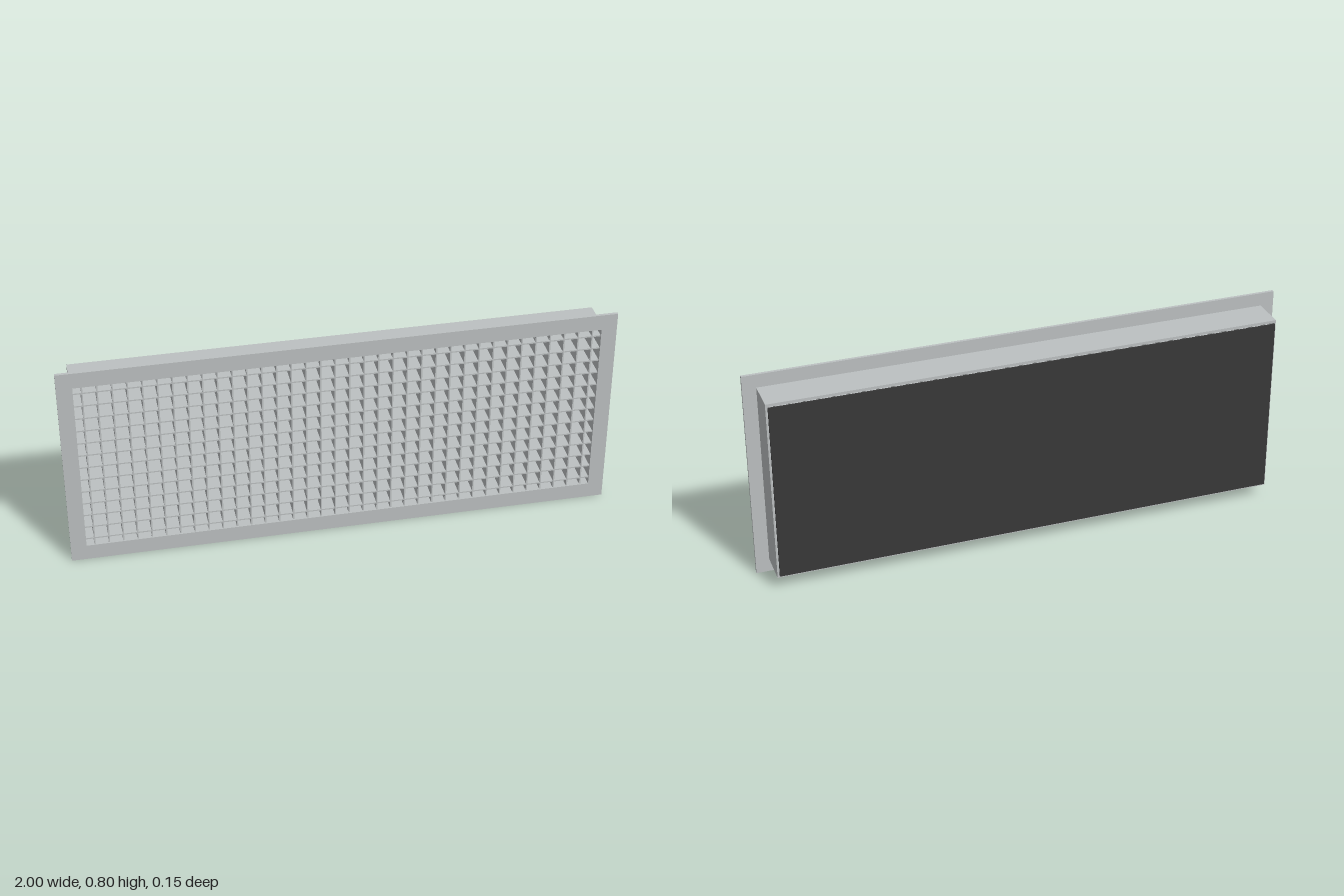
import * as THREE from 'three';

const CY = 0.4;                 // height of the centre line
const OPEN_W = 1.886, OPEN_H = 0.68;
const PITCH = 0.0521, BLADE = 0.005;

// Rectangular ring with the grille opening, extruded from z0 to z1
function ring(name, w, h, z0, z1, material) {
  const rect = (Type, rw, rh) => new Type([
    new THREE.Vector2(-rw / 2, -rh / 2), new THREE.Vector2(rw / 2, -rh / 2),
    new THREE.Vector2(rw / 2, rh / 2), new THREE.Vector2(-rw / 2, rh / 2),
  ]);
  const shape = rect(THREE.Shape, w, h);
  shape.holes.push(rect(THREE.Path, OPEN_W, OPEN_H));
  const geometry = new THREE.ExtrudeGeometry(shape, { depth: z1 - z0, bevelEnabled: false });
  const mesh = new THREE.Mesh(geometry, material);
  mesh.name = name;
  mesh.position.set(0, CY, z0);
  return mesh;
}

function box(name, w, h, z0, z1, x, y, material) {
  const mesh = new THREE.Mesh(new THREE.BoxGeometry(w, h, z1 - z0), material);
  mesh.name = name;
  mesh.position.set(x, y, (z0 + z1) / 2);
  return mesh;
}

export function createModel() {
  const metal = new THREE.MeshStandardMaterial({ color: 0xbcc0c1 });
  metal.name = 'grey metal';
  const dark = new THREE.MeshStandardMaterial({ color: 0x383838 });
  dark.name = 'dark backing';

  const model = new THREE.Group();
  model.name = 'ventGrille';

  // Front flange and the duct collar behind it
  model.add(ring('frontFlange', 2, 0.8, 0.064, 0.075, metal));
  model.add(ring('ductCollar', 1.9, 0.7, -0.065, 0.064, metal));

  // Egg-crate core
  const core = new THREE.Group();
  core.name = 'eggCrateCore';
  const z0 = -0.06, z1 = 0.07;
  for (let i = 0; i < 36; i++) {
    core.add(box('verticalBlade', BLADE, OPEN_H, z0, z1, (i - 17.5) * PITCH, CY, metal));
  }
  for (let j = 0; j < 13; j++) {
    core.add(box('horizontalBlade', OPEN_W, BLADE, z0, z1, 0, CY + (j - 6) * PITCH, metal));
  }
  model.add(core);

  // Backing plate, just clear of the collar
  model.add(box('backPlate', OPEN_W, OPEN_H, -0.075, -0.07, 0, CY, dark));
  return model;
}
